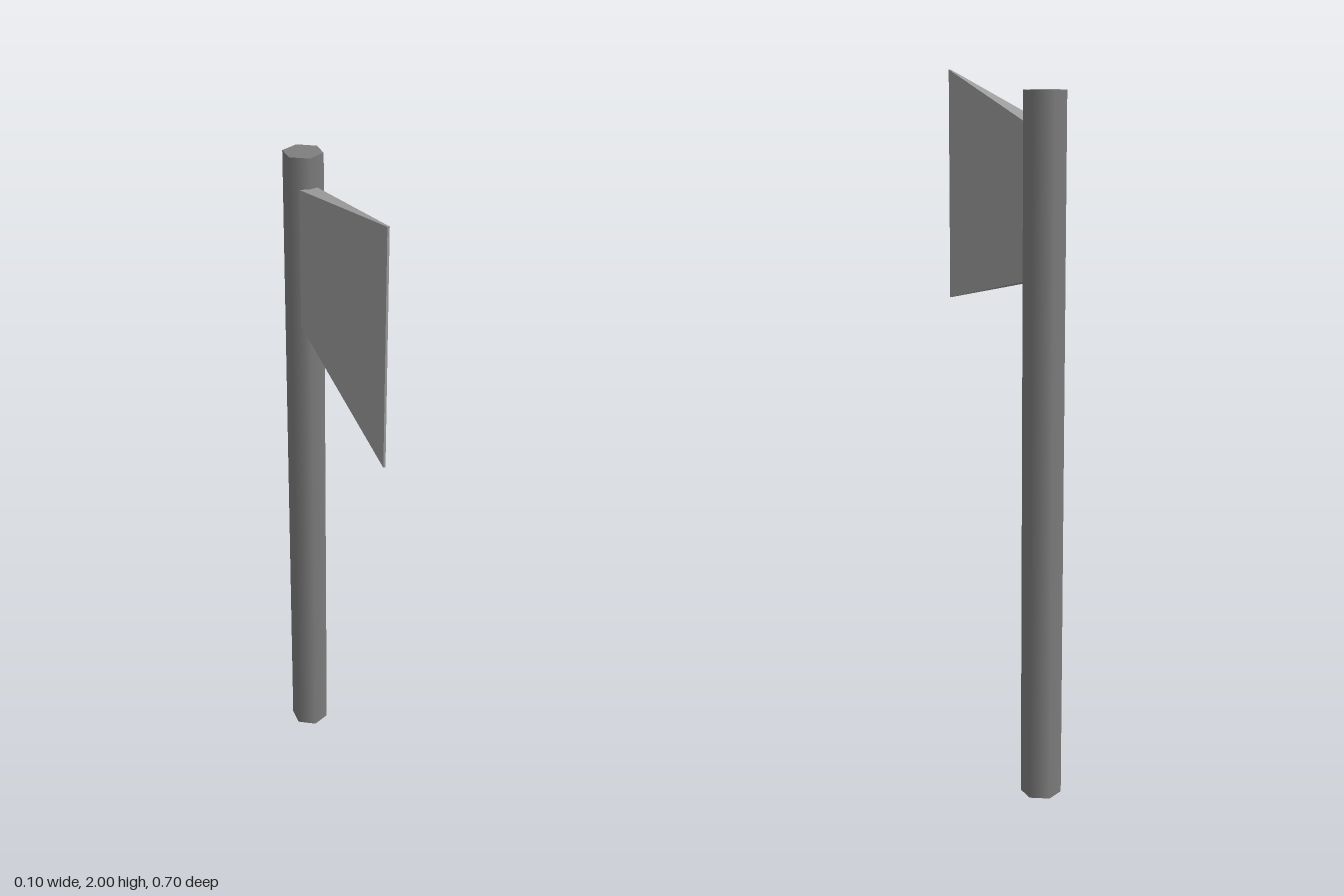
import * as THREE from 'three';

export function createModel() {
  const model = new THREE.Group();
  const poleMaterial = new THREE.MeshStandardMaterial({ color: 0x7e7e7e });
  const bladeMaterial = new THREE.MeshStandardMaterial({ color: 0x9f9f9f, flatShading: true });

  // Hexagonal pole with smooth sides, a corner facing forward
  const pole = new THREE.Mesh(new THREE.CylinderGeometry(0.057, 0.057, 1.96, 6), poleMaterial);
  pole.name = 'pole';
  pole.position.set(0, 0.98, -0.2915);
  model.add(pole);

  // Wedge blade: thick and short at the pole, thin and tall at the cutting edge
  const backZ = -0.248, edgeZ = 0.348;
  const geometry = new THREE.BoxGeometry(1, 1, 1);
  const p = geometry.attributes.position;
  for (let i = 0; i < p.count; i++) {
    const front = p.getZ(i) > 0;
    p.setXYZ(
      i,
      p.getX(i) * (front ? 0.006 : 0.052),
      1.665 + p.getY(i) * (front ? 0.67 : 0.41),
      front ? edgeZ : backZ
    );
  }
  geometry.computeVertexNormals();
  const blade = new THREE.Mesh(geometry, bladeMaterial);
  blade.name = 'blade';
  model.add(blade);

  return model;
}
